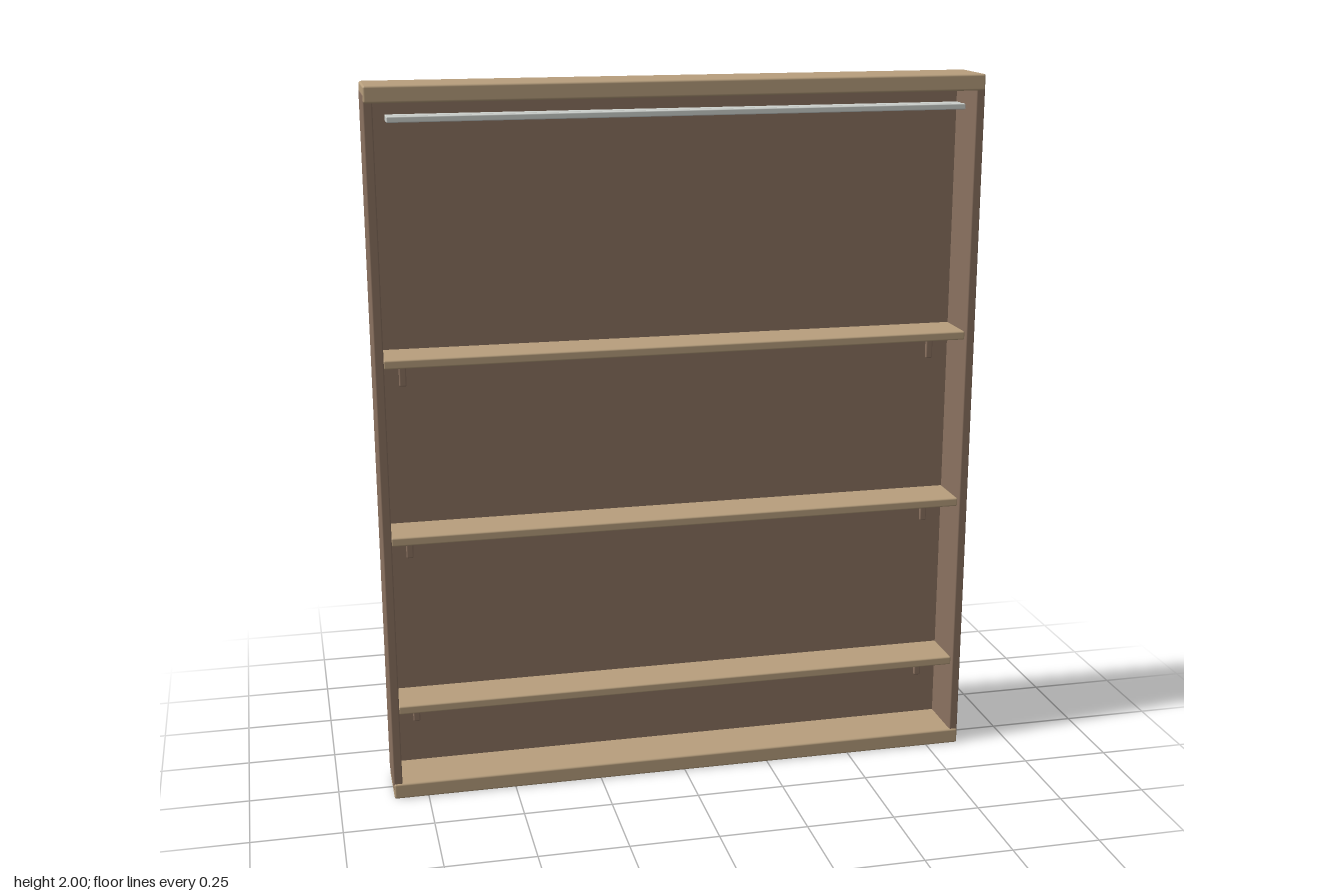
import * as THREE from 'three';
import { RoundedBoxGeometry } from 'three/addons/geometries/RoundedBoxGeometry.js';

export function createModel() {
  const model = new THREE.Group();
  model.name = 'wallShelf';
  const material = (name, color) => {
    const m = new THREE.MeshStandardMaterial({ color });
    m.name = name;
    return m;
  };
  const lightWood = material('light wood', 0xb89f7d);
  const darkWood = material('dark wood', 0x8b7260);
  const lamp = material('lamp grey', 0xced2ce);

  // Board given by its lower and upper limits, with eased edges when r > 0
  function board(name, mat, [x0, x1], [y0, y1], [z0, z1], r = 0) {
    const size = [x1 - x0, y1 - y0, z1 - z0];
    const geometry = r ? new RoundedBoxGeometry(...size, 2, r) : new THREE.BoxGeometry(...size);
    const mesh = new THREE.Mesh(geometry, mat);
    mesh.name = name;
    mesh.position.set((x0 + x1) / 2, (y0 + y1) / 2, (z0 + z1) / 2);
    model.add(mesh);
  }

  // Case: top and bottom boards, sides and back panel
  board('topBoard', lightWood, [-0.847, 0.847], [1.955, 2], [-0.082, 0.083], 0.006);
  board('bottomBoard', lightWood, [-0.847, 0.847], [0, 0.045], [-0.082, 0.083], 0.006);
  for (const s of [-1, 1]) {
    const x = s > 0 ? [0.823, 0.848] : [-0.848, -0.823];
    board(s > 0 ? 'leftSide' : 'rightSide', darkWood, x, [0.025, 1.978], [-0.08, 0.079], 0.004);
  }
  board('backPanel', darkWood, [-0.845, 0.845], [0.025, 1.975], [-0.083, -0.07]);

  // Shelves, each on two angle brackets
  for (const y of [0.25, 0.75, 1.25]) {
    board('shelf', lightWood, [-0.824, 0.824], [y, y + 0.025], [-0.07, 0.066], 0.005);
    for (const x of [-0.765, 0.765]) {
      const width = [x - 0.01, x + 0.01];
      board('bracketPlate', darkWood, width, [y - 0.08, y], [-0.07, -0.058], 0.004);
      board('bracketArm', darkWood, width, [y - 0.012, y], [-0.07, 0.01], 0.004);
    }
  }

  // Lamp rail under the top board
  board('lampPlate', lamp, [-0.79, 0.79], [1.906, 1.911], [0.02, 0.082]);
  board('lampFrontRail', lamp, [-0.79, 0.79], [1.905, 1.921], [0.066, 0.085], 0.003);
  board('lampRearRail', lamp, [-0.79, 0.79], [1.905, 1.921], [0.02, 0.055], 0.003);

  return model;
}
